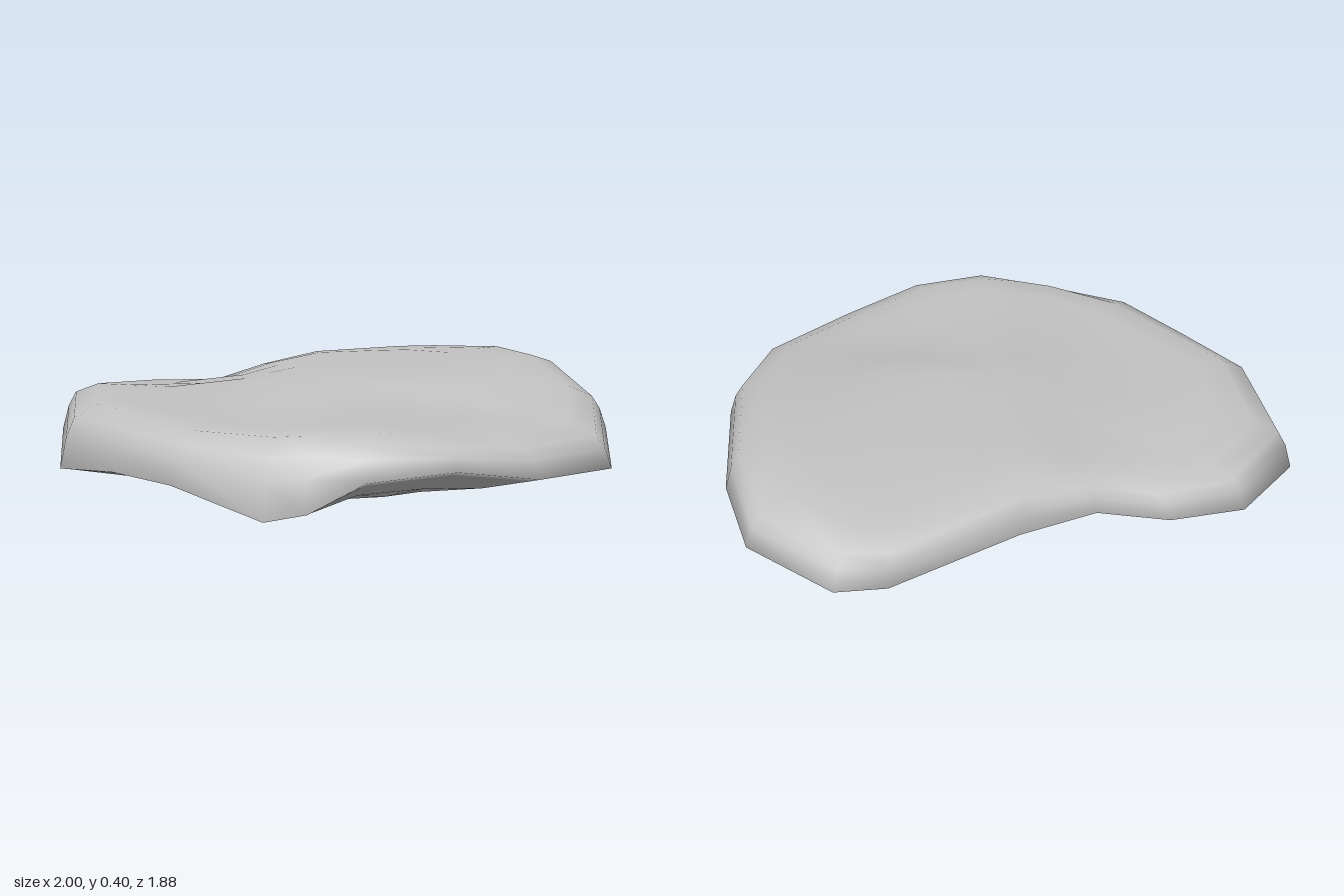
import * as THREE from 'three';

// Widest edge of the stone: x, height, z, going round from the back right corner
const RIM = [
  [-0.99, 0.155, -0.4], [-0.74, 0.18, -0.65], [-0.48, 0.17, -0.655], [-0.22, 0.24, -0.665],
  [0.05, 0.24, -0.74], [0.5, 0.24, -0.94], [0.67, 0.23, -0.92], [0.93, 0.26, -0.69],
  [0.995, 0.25, -0.34], [0.98, 0.21, 0.2], [0.86, 0.15, 0.58], [0.53, 0.18, 0.8],
  [0.22, 0.25, 0.93], [-0.07, 0.23, 0.94], [-0.25, 0.13, 0.905], [-0.38, 0.1, 0.86],
  [-0.65, 0.18, 0.66], [-0.825, 0.16, 0.37], [-1, 0.11, 0.08],
];

// Top: low on one side, stepping up to a raised back, dropping away at the front left corner
function topHeight(x, z) {
  const rise = THREE.MathUtils.smoothstep(x, -0.5, 0.05);
  const back = THREE.MathUtils.smoothstep(-z, -0.35, -0.05);
  const corner = 0.17 * Math.max(0, x) * Math.max(0, z);
  const backSlope = 0.1 * Math.max(0, -z - 0.5);
  const dip = 0.05 * Math.exp(-((x + 0.45) ** 2 + (z + 0.6) ** 2) / 0.06);
  return 0.335 + rise * (0.03 + 0.035 * back) - corner - backSlope - dip;
}

// Underside: lowest a little behind the middle
const baseHeight = (x, z) => Math.max(0.07 * (z + 0.19), -0.22 * (z + 0.19));

// Rounded shoulder, part of the way from the rim up to the top
const shoulder = (part) => (x, z, rim) => rim + part * (topHeight(x, z) - rim);

// Rings from the top to the bottom: scale of the outline and height rule
const RINGS = [
  [0.2, topHeight],
  [0.4, topHeight],
  [0.6, topHeight],
  [0.75, topHeight],
  [0.86, topHeight],
  [0.945, shoulder(0.8)],
  [0.975, shoulder(0.5)],
  [1, shoulder(0)],
  [0.96, (x, z, rim) => 0.003 + 0.917 * rim],
  [0.75, (x, z, rim) => 0.02 + 0.48 * rim],
  [0.45, baseHeight],
];

function stoneGeometry() {
  const n = RIM.length;
  const positions = [];
  const index = [];
  for (const [scale, height] of RINGS) {
    for (const [rx, ry, rz] of RIM) {
      const x = rx * scale, z = rz * scale;
      positions.push(x, height(x, z, ry), z);
    }
  }
  const top = RINGS.length * n, bottom = top + 1;
  const last = (RINGS.length - 1) * n;
  positions.push(0, topHeight(0, 0), 0, 0, baseHeight(0, 0), 0);

  for (let j = 0; j < n; j++) {
    const k = (j + 1) % n;
    index.push(top, k, j, bottom, last + j, last + k);
    for (let r = 0; r < last; r += n) {
      index.push(r + j, r + k, r + n + j, r + k, r + n + k, r + n + j);
    }
  }
  const geometry = new THREE.BufferGeometry();
  geometry.setAttribute('position', new THREE.Float32BufferAttribute(positions, 3));
  geometry.setIndex(index);
  geometry.computeVertexNormals();
  return geometry;
}

export function createModel() {
  const group = new THREE.Group();
  group.name = 'flatRock';
  const stoneGrey = new THREE.MeshStandardMaterial({ color: 0xc3c3c3 });
  stoneGrey.name = 'stoneGrey';
  const stone = new THREE.Mesh(stoneGeometry(), stoneGrey);
  stone.name = 'stone';
  group.add(stone);
  return group;
}
